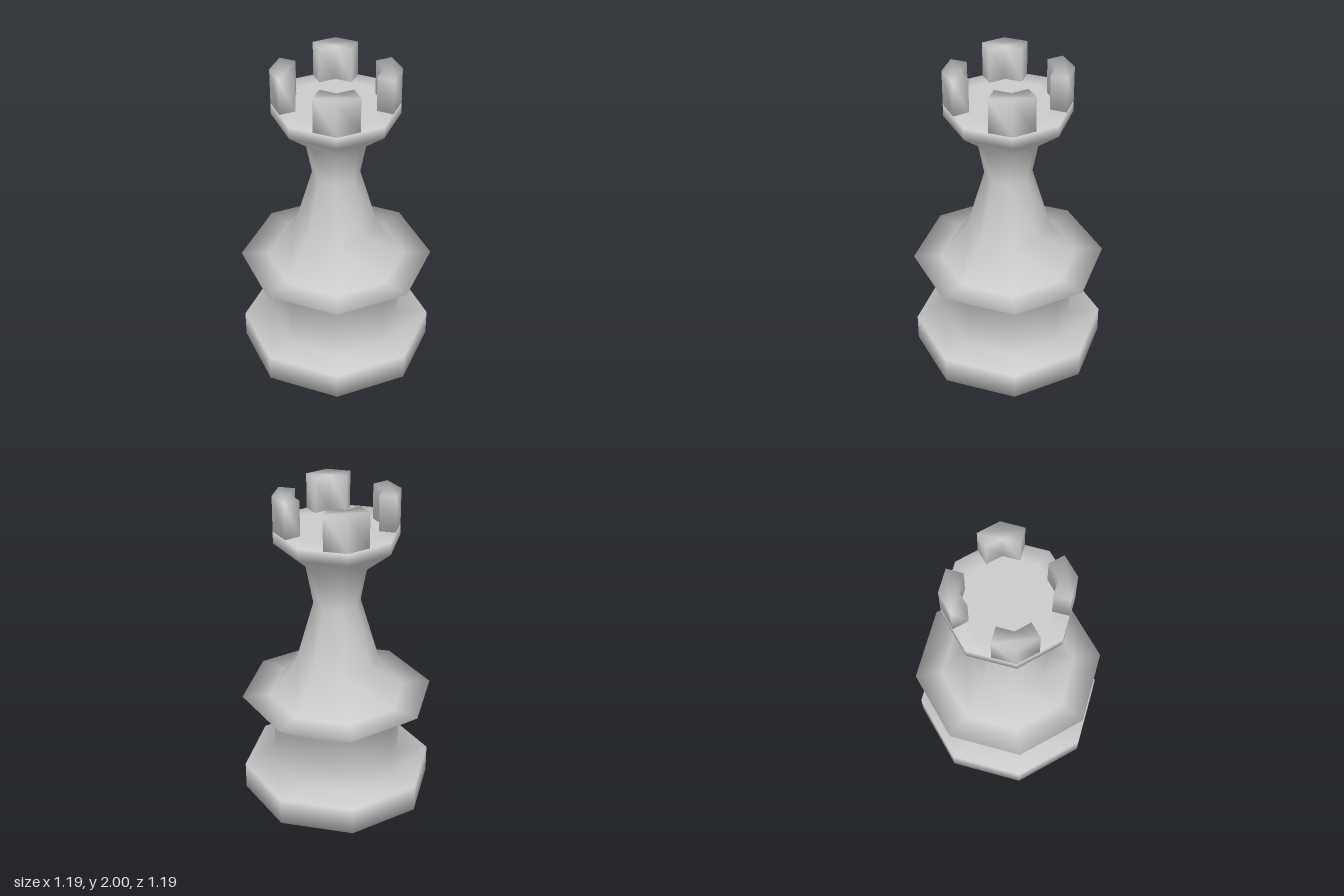
import * as THREE from 'three';
import { mergeVertices } from 'three/addons/utils/BufferGeometryUtils.js';

const SIDES = 8;
const RIM = 0.378, INNER = 0.27, FLOOR = 1.78, TOP = 2;

// Corner of an octagon that has corners on the axes
const corner = (r, i) =>
  new THREE.Vector2(Math.cos((i * Math.PI) / 4), Math.sin((i * Math.PI) / 4)).multiplyScalar(r);
const edgeMiddle = (r, i) => corner(r, i).lerp(corner(r, i + 1), 0.5);

// Share vertices so shading is smooth across the edges
function smooth(geometry) {
  geometry.deleteAttribute('normal');
  geometry.deleteAttribute('uv');
  const merged = mergeVertices(geometry);
  merged.computeVertexNormals();
  return merged;
}

// Battlement block wrapped around one octagon corner, half an edge to each side
function battlementGeometry(i) {
  const shape = new THREE.Shape([
    edgeMiddle(RIM, i - 1), corner(RIM, i), edgeMiddle(RIM, i),
    edgeMiddle(INNER, i), corner(INNER, i), edgeMiddle(INNER, i - 1),
  ]);
  const geometry = new THREE.ExtrudeGeometry(shape, { depth: TOP - FLOOR, bevelEnabled: false });
  geometry.rotateX(-Math.PI / 2).translate(0, FLOOR, 0);
  return smooth(geometry);
}

export function createModel() {
  const group = new THREE.Group();
  group.name = 'rook';
  const material = new THREE.MeshStandardMaterial({ color: 0xcccccc });

  // Turned body: plinth, drum, collar, tapering stem and crown, bottom to top
  const profile = [
    [0, 0], [0.595, 0], [0.595, 0.175], [0.4, 0.175], [0.4, 0.53],
    [0.595, 0.68], [0.425, 0.68], [0.255, 0.915], [0.145, 1.3],
    [0.19, 1.545], [RIM, 1.705], [RIM, FLOOR], [INNER, FLOOR], [0, FLOOR],
  ].map(([r, y]) => new THREE.Vector2(r, y));
  const body = new THREE.Mesh(new THREE.LatheGeometry(profile, SIDES), material);
  body.name = 'body';
  group.add(body);

  // Four battlements on the diagonals
  const battlements = new THREE.Group();
  battlements.name = 'battlements';
  for (let i = 1; i < SIDES; i += 2) {
    const block = new THREE.Mesh(battlementGeometry(i), material);
    block.name = 'battlement';
    battlements.add(block);
  }
  group.add(battlements);
  return group;
}
